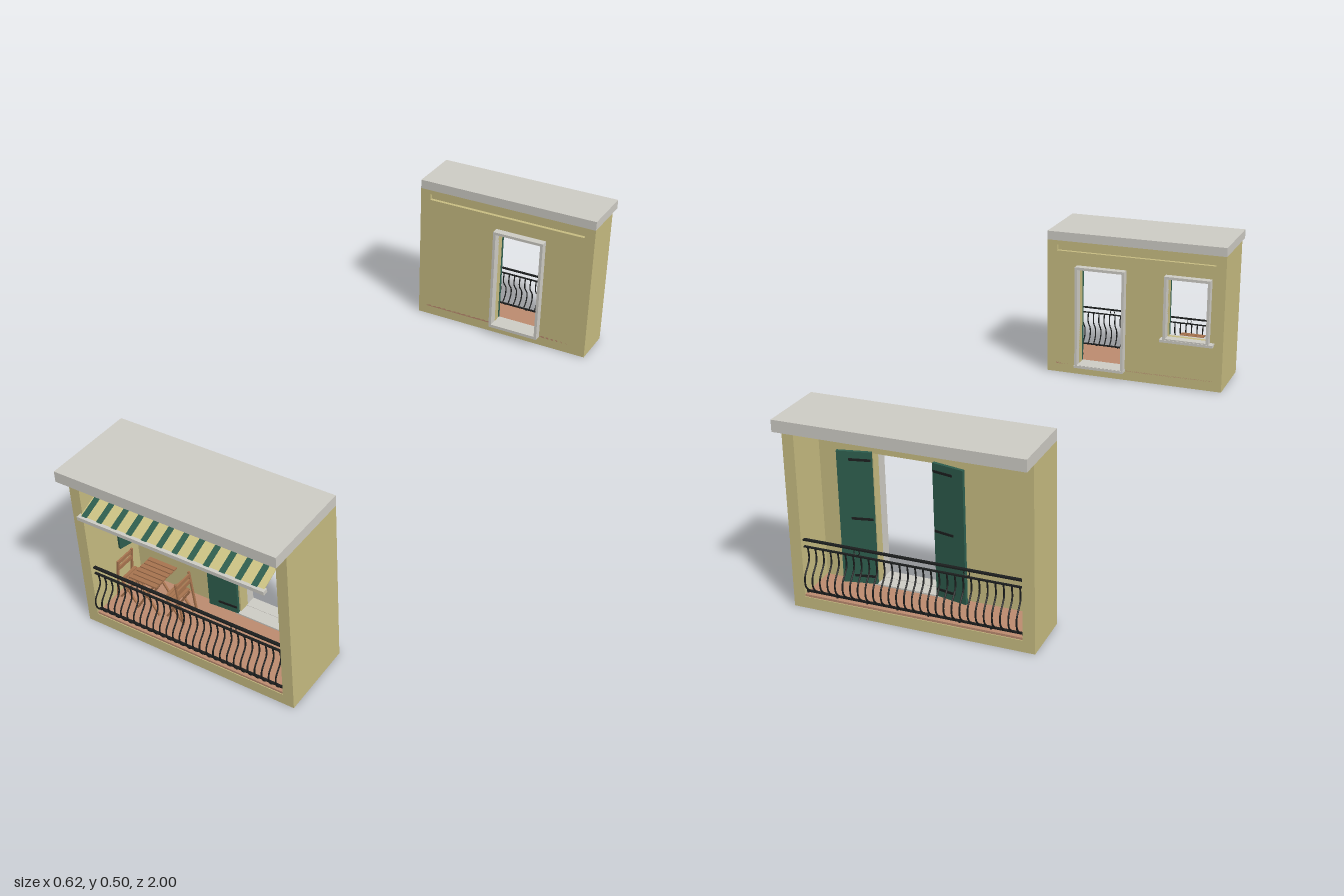
import * as THREE from 'three';

const mat = (name, color, side = THREE.FrontSide) => {
  const m = new THREE.MeshStandardMaterial({ color, side });
  m.name = name;
  return m;
};
const wallMat = mat('ochre plaster', 0xc8bd82);
const stoneMat = mat('pale stone', 0xcfcdc6);
const greenMat = mat('shutter green', 0x2e5e4e);
const ironMat = mat('black iron', 0x1c1e1e);
const tileMat = mat('terracotta', 0xbd8c70);
const woodMat = mat('wood', 0xa8744f);
const clothMat = mat('awning cloth', 0xccc283, THREE.DoubleSide);

function add(parent, name, geo, material, x = 0, y = 0, z = 0) {
  const m = new THREE.Mesh(geo, material);
  m.name = name;
  m.position.set(x, y, z);
  parent.add(m);
  return m;
}

// box given by its limits on each axis
function box(parent, name, material, x0, x1, y0, y1, z0, z1) {
  return add(parent, name, new THREE.BoxGeometry(x1 - x0, y1 - y0, z1 - z0), material,
    (x0 + x1) / 2, (y0 + y1) / 2, (z0 + z1) / 2);
}

// flat bar between two points of an x-y plane
function bar(parent, name, material, x0, y0, x1, y1, z, t = 0.005) {
  const len = Math.hypot(x1 - x0, y1 - y0);
  const m = add(parent, name, new THREE.BoxGeometry(len, t, t), material, (x0 + x1) / 2, (y0 + y1) / 2, z);
  m.rotation.z = Math.atan2(y1 - y0, x1 - x0);
  return m;
}

function rectPath(x0, x1, y0, y1, Type = THREE.Path) {
  return new Type([[x0, y0], [x1, y0], [x1, y1], [x0, y1]].map(p => new THREE.Vector2(...p)));
}

// hinged leaf: dir is the side it opens to, angle its distance from the wall
function shutter(parent, hingeX, dir, width, y0, y1, angle) {
  const g = new THREE.Group();
  g.name = 'shutter';
  g.position.set(hingeX, 0, 0.037);
  g.rotation.y = -dir * angle;
  const span = (a, b) => [Math.min(dir * a, dir * b), Math.max(dir * a, dir * b)];
  box(g, 'shutterLeaf', greenMat, ...span(0, width), y0, y1, -0.004, 0.004);
  for (const y of [y0 + 0.02, (y0 + y1) / 2, y1 - 0.02])
    box(g, 'strapHinge', ironMat, ...span(0.002, width * 0.65), y - 0.003, y + 0.003, -0.006, 0.006);
  parent.add(g);
}

// stone surround standing out from the house side of the wall
function surround(parent, [x0, x1, y0, y1]) {
  const s = rectPath(x0 - 0.009, x1 + 0.009, y0, y1 + 0.009, THREE.Shape);
  s.holes.push(rectPath(x0, x1, y0 + 0.004, y1));
  add(parent, 'openingFrame', new THREE.ExtrudeGeometry(s, { depth: 0.03, bevelEnabled: false }), stoneMat, 0, 0, -0.025);
}

function railing(parent, depth) {
  const g = new THREE.Group();
  g.name = 'railing';
  const z = depth - 0.012;
  box(g, 'topRail', ironMat, -0.28, 0.28, 0.176, 0.18, z - 0.004, z + 0.004);
  box(g, 'middleRail', ironMat, -0.28, 0.28, 0.158, 0.161, z - 0.003, z + 0.003);
  box(g, 'bottomRail', ironMat, -0.28, 0.28, 0.039, 0.043, z - 0.003, z + 0.003);
  const curve = new THREE.CatmullRomCurve3([[0.04, 0], [0.062, 0.02], [0.09, 0.022], [0.125, -0.002], [0.16, 0]]
    .map(([y, dz]) => new THREE.Vector3(0, y, z + dz)));
  const baluster = new THREE.TubeGeometry(curve, 14, 0.0022, 5);
  for (let i = 0; i < 28; i++) add(g, 'baluster', baluster, ironMat, -0.27 + i * 0.02);
  for (let i = 0; i < 8; i++) {
    const x = -0.277 + i * 0.0791;
    box(g, 'railFoot', ironMat, x - 0.002, x + 0.002, 0.03, 0.04, z - 0.002, z + 0.002);
  }
  for (const x of [-0.14, 0.14])
    add(g, 'railRing', new THREE.TorusGeometry(0.0075, 0.0012, 5, 20), ironMat, x, 0.169, z);
  parent.add(g);
}

// balcony with its house wall at z = 0, open towards +z
function balcony(name, depth, openings) {
  const g = new THREE.Group();
  g.name = name;
  const wall = rectPath(-0.31, 0.31, 0, 0.47, THREE.Shape);
  for (const o of openings) {
    wall.holes.push(rectPath(...o));
    surround(g, o);
  }
  wall.holes.push(rectPath(-0.275, 0.275, 0.435, 0.456));
  add(g, 'houseWall', new THREE.ExtrudeGeometry(wall, { depth: 0.03, bevelEnabled: false }), wallMat);
  box(g, 'wallBeam', wallMat, -0.28, 0.28, 0.43, 0.47, 0.012, 0.045);
  for (const s of [-1, 1])
    add(g, 'sideWall', new THREE.BoxGeometry(0.03, 0.47, depth - 0.03), wallMat, s * 0.295, 0.235, (depth + 0.03) / 2);
  box(g, 'floorSlab', wallMat, -0.28, 0.28, 0, 0.03, 0.03, depth);
  box(g, 'floorTiles', tileMat, -0.28, 0.28, 0.03, 0.036, 0.0, depth - 0.002);
  box(g, 'roofSlab', stoneMat, -0.31, 0.31, 0.47, 0.5, 0, depth + 0.04);
  railing(g, depth);
  return g;
}

function awning(parent) {
  const g = new THREE.Group();
  g.name = 'awning';
  const top = { y: 0.447, z: 0.06 }, low = { y: 0.374, z: 0.236 };
  const roller = add(g, 'awningRoller', new THREE.CylinderGeometry(0.005, 0.005, 0.53, 12), stoneMat, 0, top.y, top.z);
  roller.rotation.z = Math.PI / 2;
  for (const s of [-1, 1])
    box(g, 'awningBracket', stoneMat, s * 0.265 - 0.003, s * 0.265 + 0.003, 0.433, 0.456, 0.03, 0.07);
  box(g, 'frontBar', stoneMat, -0.267, 0.267, 0.366, 0.376, 0.229, 0.243);
  // sloping cloth with thin painted stripes
  const cloth = new THREE.Group();
  cloth.name = 'awningCloth';
  cloth.position.set(0, (top.y + low.y) / 2, (top.z + low.z) / 2);
  cloth.rotation.x = Math.atan2(top.y - low.y, low.z - top.z);
  const len = Math.hypot(top.y - low.y, low.z - top.z);
  add(cloth, 'clothSheet', new THREE.BoxGeometry(0.525, 0.002, len), clothMat);
  for (let i = 0; i < 12; i++)
    add(cloth, 'clothStripe', new THREE.BoxGeometry(0.016, 0.001, len), greenMat, -0.251 + i * 0.0443, 0.0012, 0);
  g.add(cloth);
  bar(g, 'crankRod', ironMat, -0.268, 0.43, -0.262, 0.2, 0.075, 0.002);
  parent.add(g);
}

function table(parent, x, z) {
  const g = new THREE.Group();
  g.name = 'table';
  for (let i = 0; i < 6; i++)
    box(g, 'tableSlat', woodMat, -0.042, 0.042, 0.138, 0.142, -0.044 + i * 0.015, -0.032 + i * 0.015);
  for (const s of [-1, 1]) {
    box(g, 'tableRail', woodMat, -0.035, 0.035, 0.133, 0.138, s * 0.036 - 0.003, s * 0.036 + 0.003);
    bar(g, 'tableLeg', woodMat, -0.033, 0.036, 0.03, 0.136, s * 0.036);
    bar(g, 'tableLeg', woodMat, 0.033, 0.036, -0.03, 0.136, s * 0.031);
  }
  g.position.set(x, 0, z);
  parent.add(g);
}

// folding chair facing +x, turned round when dir is -1
function chair(parent, x, z, dir) {
  const g = new THREE.Group();
  g.name = 'chair';
  for (let i = 0; i < 4; i++)
    box(g, 'seatSlat', woodMat, -0.02 + i * 0.0105, -0.012 + i * 0.0105, 0.101, 0.105, -0.028, 0.028);
  for (const s of [-1, 1]) {
    bar(g, 'backPost', woodMat, -0.036, 0.036, -0.022, 0.162, s * 0.028);
    bar(g, 'crossLeg', woodMat, -0.03, 0.036, 0.018, 0.101, s * 0.023);
    bar(g, 'frontLeg', woodMat, 0.018, 0.036, -0.025, 0.103, s * 0.023);
  }
  for (const y of [0.135, 0.153])
    box(g, 'backSlat', woodMat, -0.027, -0.022, y - 0.005, y + 0.005, -0.028, 0.028);
  g.position.set(x, 0, z);
  g.rotation.y = dir > 0 ? 0 : Math.PI;
  parent.add(g);
}

export function createModel() {
  const model = new THREE.Group();
  model.name = 'balconies';

  // deep balcony with window, door, awning and furniture
  const front = balcony('frontBalcony', 0.21, [[-0.256, -0.117, 0.171, 0.381], [0.038, 0.194, 0.037, 0.381]]);
  front.position.z = 0.75;
  box(front, 'windowSill', stoneMat, -0.28, -0.097, 0.162, 0.171, -0.027, 0.04);
  box(front, 'doorThreshold', stoneMat, 0.028, 0.205, 0.031, 0.04, -0.027, 0.04);
  shutter(front, -0.257, -1, 0.07, 0.171, 0.387, 1.3);
  shutter(front, -0.117, 1, 0.065, 0.171, 0.387, 0.06);
  shutter(front, 0.036, -1, 0.085, 0.04, 0.387, 0.06);
  shutter(front, 0.196, 1, 0.08, 0.04, 0.387, 0.83);
  awning(front);
  table(front, -0.169, 0.11);
  chair(front, -0.234, 0.11, 1);
  chair(front, -0.099, 0.11, -1);
  model.add(front);

  // shallow balcony with a single door, turned the other way
  const back = balcony('backBalcony', 0.14, [[-0.137, 0.021, 0.037, 0.381]]);
  back.position.z = -0.82;
  back.rotation.y = Math.PI;
  box(back, 'doorThreshold', stoneMat, -0.146, 0.03, 0.031, 0.04, -0.025, 0.04);
  shutter(back, -0.137, -1, 0.085, 0.04, 0.387, 0.2);
  shutter(back, 0.021, 1, 0.085, 0.04, 0.387, 0.2);
  model.add(back);
  return model;
}
